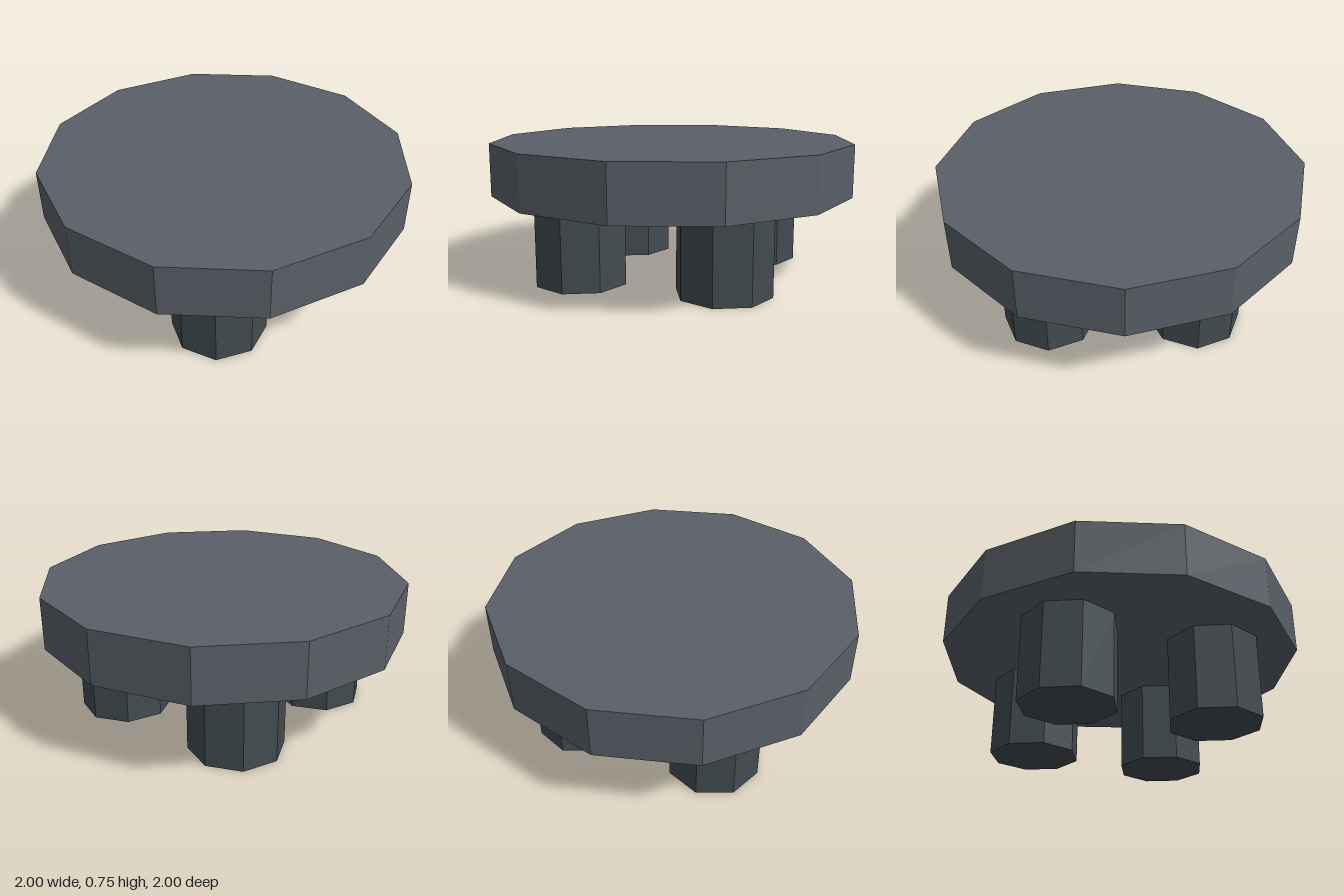
import * as THREE from 'three';

export function createModel() {
  const group = new THREE.Group();
  const topMaterial = new THREE.MeshStandardMaterial({ color: 0x5a6068, flatShading: true });
  const legMaterial = new THREE.MeshStandardMaterial({ color: 0x424c50, flatShading: true });

  const legHeight = 0.46, topHeight = 0.285;

  // Twelve-sided slab
  const top = new THREE.Mesh(new THREE.CylinderGeometry(1, 1, topHeight, 12), topMaterial);
  top.name = 'tableTop';
  top.position.y = legHeight + topHeight / 2;
  group.add(top);

  // Four eight-sided legs
  const legGeometry = new THREE.CylinderGeometry(0.255, 0.255, legHeight, 8);
  for (const [side, x] of [['Left', 1], ['Right', -1]]) {
    for (const [end, z] of [['front', 1], ['back', -1]]) {
      const leg = new THREE.Mesh(legGeometry, legMaterial);
      leg.name = `${end}${side}Leg`;
      leg.position.set(x * 0.395, legHeight / 2, z * 0.395);
      group.add(leg);
    }
  }
  return group;
}
